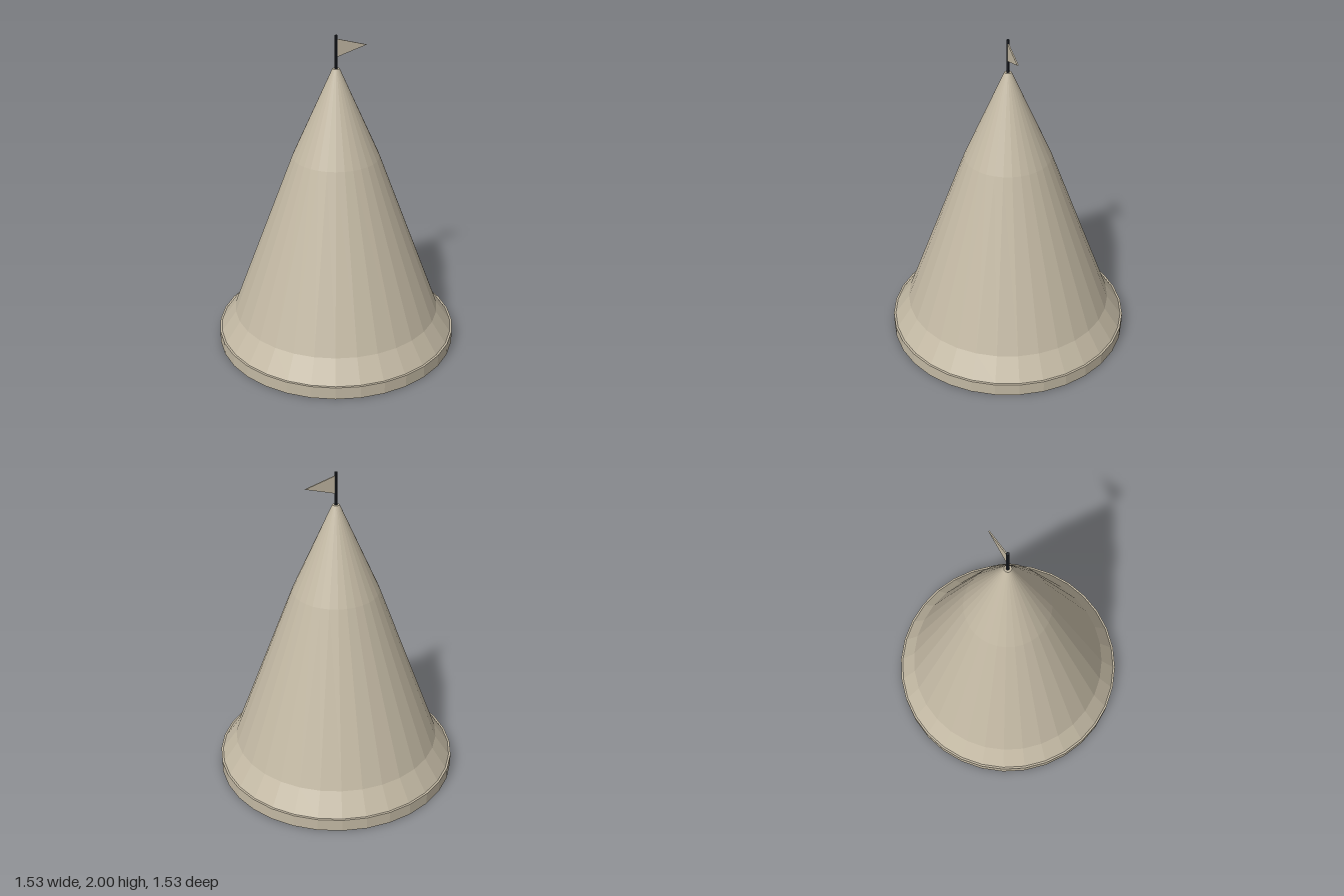
import * as THREE from 'three';

export function createModel() {
  const model = new THREE.Group();
  const canvas = new THREE.MeshStandardMaterial({ name: 'beige canvas', color: 0xc2b8a3 });
  const iron = new THREE.MeshStandardMaterial({ name: 'dark iron', color: 0x23272e });

  const add = (name, geometry, material, y = 0) => {
    // split vertices so every facet is flat
    const flat = geometry.index ? geometry.toNonIndexed() : geometry;
    flat.computeVertexNormals();
    const mesh = new THREE.Mesh(flat, material);
    mesh.name = name;
    mesh.position.y = y;
    model.add(mesh);
  };

  // Flat base rim
  add('baseRim', new THREE.CylinderGeometry(0.765, 0.765, 0.08, 32), canvas, 0.04);

  // Roof: flared eaves, long slope, slightly flatter tip with a small flat top
  const profile = [[0.752, 0.08], [0.658, 0.215], [0.268, 1.25], [0.022, 1.8], [0, 1.8]]
    .map(([r, y]) => new THREE.Vector2(r, y));
  add('roofCone', new THREE.LatheGeometry(profile, 32), canvas);

  // Flagpole
  add('flagpole', new THREE.CylinderGeometry(0.01, 0.01, 0.22, 8), iron, 1.89);

  // Pennant pointing to the model's left
  const pennant = new THREE.Shape([
    new THREE.Vector2(0.005, 1.87),
    new THREE.Vector2(0.195, 1.925),
    new THREE.Vector2(0.005, 1.978),
  ]);
  const flag = new THREE.ExtrudeGeometry(pennant, { depth: 0.008, bevelEnabled: false });
  flag.translate(0, 0, -0.004);
  add('pennant', flag, canvas);

  return model;
}
